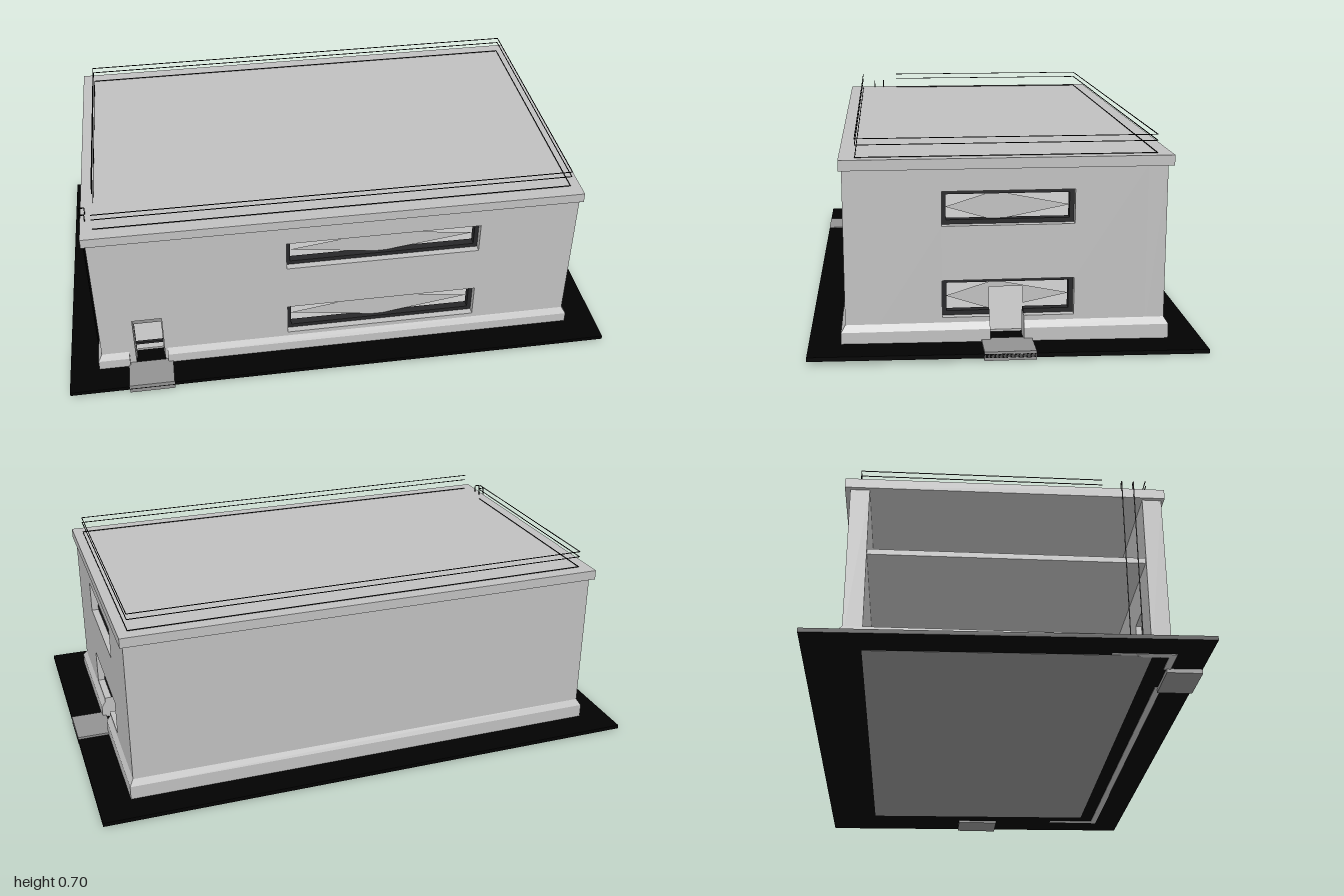
import * as THREE from 'three';

const mat = (name, color, side = THREE.FrontSide) => {
  const m = new THREE.MeshStandardMaterial({ color, side });
  m.name = name;
  return m;
};

export function createModel() {
  const root = new THREE.Group();
  root.name = 'building';
  const wallGrey = mat('wallGrey', 0xc0c0c0);
  const paneGrey = mat('paneGrey', 0xc0c0c0, THREE.DoubleSide);
  const stepGrey = mat('stepGrey', 0x929292);
  const frameDark = mat('frameDark', 0x272729);
  const black = mat('black', 0x020202);

  // outer wall faces and wall thickness
  const X0 = -0.88, X1 = 0.87, ZF = 0.53, ZB = -0.525, T = 0.065;

  const add = (parent, name, geo, material) => {
    const m = new THREE.Mesh(geo, material);
    m.name = name;
    parent.add(m);
    return m;
  };
  // box given by its limits
  const box = (parent, name, material, x0, x1, y0, y1, z0, z1) => {
    const m = add(parent, name, new THREE.BoxGeometry(x1 - x0, y1 - y0, z1 - z0), material);
    m.position.set((x0 + x1) / 2, (y0 + y1) / 2, (z0 + z1) / 2);
    return m;
  };
  const poly = (pts) => pts.map(([x, y]) => new THREE.Vector2(x, y));
  const rect = (x0, x1, y0, y1) => [[x0, y0], [x1, y0], [x1, y1], [x0, y1]];
  const wall = (outline, holes) => {
    const s = new THREE.Shape(poly(outline));
    holes.forEach((h) => s.holes.push(new THREE.Path(poly(h))));
    return new THREE.ExtrudeGeometry(s, { depth: T, bevelEnabled: false });
  };
  // dark frame set back in the window opening, with an optional gap in the sill
  const windowFrame = (parent, x0, x1, y0, y1, gap) => {
    const g = new THREE.Group();
    g.name = 'windowFrame';
    parent.add(g);
    const b = 0.015, z0 = 0.012, z1 = T - 0.025;
    box(g, 'head', frameDark, x0, x1, y1 - b, y1, z0, z1);
    box(g, 'jamb', frameDark, x0, x0 + b, y0 + b, y1 - b, z0, z1);
    box(g, 'jamb', frameDark, x1 - b, x1, y0 + b, y1 - b, z0, z1);
    if (gap) {
      box(g, 'sill', frameDark, x0, gap[0], y0, y0 + b, z0, z1);
      box(g, 'sill', frameDark, gap[1], x1, y0, y0 + b, z0, z1);
    } else box(g, 'sill', frameDark, x0, x1, y0, y0 + b, z0, z1);
  };
  const pane = (parent, pts) => {
    const m = add(parent, 'windowPane', new THREE.ShapeGeometry(new THREE.Shape(poly(pts))), paneGrey);
    m.position.z = T / 2 - 0.005;
  };

  // sloping ground plate with the floor's underside let into it
  const base = new THREE.Group();
  base.name = 'groundBase';
  base.position.y = 0.0155;
  base.rotation.x = -0.0105;
  root.add(base);
  box(base, 'groundPlate', black, -1, 1, -0.007, 0.007, -0.65, 0.65);
  box(base, 'floorUnderside', stepGrey, X0, X1 - T, -0.008, 0, ZB + T, ZF - T);

  // floors and roof
  box(root, 'groundFloor', wallGrey, X0, X1 - T, 0.028, 0.036, ZB + T, ZF - T);
  box(root, 'upperFloor', wallGrey, X0 + 0.01, X1 - T, 0.36, 0.38, ZB + T, ZF - T);
  box(root, 'roofSlab', wallGrey, -0.894, 0.882, 0.603, 0.638, -0.543, 0.54);

  // front wall with two windows and a doorway
  const front = new THREE.Group();
  front.name = 'frontWall';
  front.position.z = ZF - T;
  root.add(front);
  const fx0 = -0.19, fx1 = 0.514, dx0 = -0.757, dx1 = -0.65;
  const lower = [0.105, 0.231], upper = [0.414, 0.529];
  add(front, 'frontWallPanel', wall(
    [[X0, 0.02], [dx0, 0.02], [dx0, 0.237], [dx1, 0.237], [dx1, 0.02], [X1, 0.02], [X1, 0.605], [X0, 0.605]],
    [rect(fx0, fx1, ...lower), rect(fx0, fx1, ...upper)]), wallGrey);
  for (const [y0, y1] of [lower, upper]) {
    const m = (y0 + y1) / 2, h = (y1 - y0) / 2 - 0.012;
    windowFrame(front, fx0, fx1, y0, y1);
    pane(front, [[-0.178, m], [0.155, m - h], [0.498, m], [0.155, m + h]]);
  }
  box(front, 'doorLintel', stepGrey, dx0, dx1, 0.2, 0.236, 0.02, 0.04);
  box(front, 'doorRail', frameDark, dx0, dx1, 0.092, 0.101, 0.025, 0.035);
  for (const x of [dx0, dx1 - 0.004]) box(front, 'doorJamb', stepGrey, x, x + 0.004, 0.03, 0.236, 0.02, 0.04);

  // right wall: window above, window joined with doorway below
  const right = new THREE.Group();
  right.name = 'rightWall';
  right.position.x = X1 - T;
  right.rotation.y = Math.PI / 2;
  root.add(right);
  const d = 0.056, rx0 = -0.213, rx1 = 0.222, wa = -(ZF - T), wb = -(ZB + T);
  add(right, 'rightWallPanel', wall(
    [[wa, 0.02], [-d, 0.02], [-d, lower[0]], [rx0, lower[0]], [rx0, lower[1]], [rx1, lower[1]], [rx1, lower[0]],
      [d, lower[0]], [d, 0.02], [wb, 0.02], [wb, 0.605], [wa, 0.605]],
    [rect(rx0, rx1, ...upper)]), wallGrey);
  windowFrame(right, rx0, rx1, ...upper);
  windowFrame(right, rx0, rx1, ...lower, [-d, d]);
  pane(right, [[-0.2, 0.47], [-0.04, 0.422], [0.21, 0.47], [-0.04, 0.52]]);
  pane(right, [[-0.2, 0.168], [-d, 0.121], [-d, 0.195], [d, 0.195], [d, 0.136], [0.21, 0.168], [-0.04, 0.218]]);

  // back wall; the left side stays open
  box(root, 'backWall', wallGrey, X0, X1, 0.02, 0.605, ZB, ZB + T);

  // plinth runs: wall-length prisms, mitred at building corners
  const plinth = (parent, a, b, mitreA, mitreB) => {
    const s = new THREE.Shape(poly([[-0.01, 0.012], [0.014, 0.012], [0.014, 0.066], [0, 0.088], [-0.01, 0.088]]));
    const g = new THREE.ExtrudeGeometry(s, { depth: b - a, bevelEnabled: false }).toNonIndexed();
    const p = g.attributes.position;
    for (let i = 0; i < p.count; i++) {
      const out = p.getX(i), far = p.getZ(i) > (b - a) / 2;
      if (far && mitreB) p.setZ(i, p.getZ(i) + out);
      if (!far && mitreA) p.setZ(i, p.getZ(i) - out);
      p.setZ(i, p.getZ(i) + a);
    }
    g.computeVertexNormals();
    add(parent, 'plinth', g, wallGrey);
  };
  // each side's local z runs along the wall, local x points outwards
  const side = (name, x, z, angle) => {
    const g = new THREE.Group();
    g.name = name;
    g.position.set(x, 0, z);
    g.rotation.y = angle;
    root.add(g);
    return g;
  };
  const pf = side('frontPlinth', 0, ZF, -Math.PI / 2);
  plinth(pf, -X1, 0.64, true, false);
  plinth(pf, 0.78, -X0, false, true);
  plinth(side('backPlinth', 0, ZB, Math.PI / 2), X0, X1, true, true);
  const pr = side('rightPlinth', X1, 0, 0);
  plinth(pr, ZB, -d, true, false);
  plinth(pr, d, ZF, false, true);
  plinth(side('leftPlinth', X0, 0, Math.PI), -ZF, -ZB, true, true);

  // entrance steps
  box(root, 'frontStep', stepGrey, -0.786, -0.623, 0, 0.033, 0.53, 0.65);
  box(root, 'rightStep', stepGrey, 0.87, 1, 0, 0.03, -0.083, 0.085);

  // thin roof rails with a gap at the ladder
  const r = 0.0012;
  for (const y of [0.64, 0.68, 0.7]) {
    const rail = (x0, x1, z0, z1) => box(root, 'roofRail', black, x0 - r, x1 + r, y - r, y + r, z0 - r, z1 + r);
    rail(-0.85, 0.845, 0.487, 0.487);
    rail(-0.85, 0.845, -0.493, -0.493);
    rail(0.845, 0.845, -0.493, 0.487);
    rail(-0.85, -0.85, -0.493, 0.335);
  }

  // ladder stringers hooked over the roof edge
  for (const z of [0.395, 0.435]) {
    box(root, 'ladderStringer', black, -0.898, -0.895, 0.04, 0.665, z - 0.0015, z + 0.0015);
    box(root, 'ladderHook', black, -0.898, -0.876, 0.663, 0.666, z - 0.0015, z + 0.0015);
    box(root, 'ladderHookEnd', black, -0.879, -0.876, 0.636, 0.665, z - 0.0015, z + 0.0015);
  }
  return root;
}
